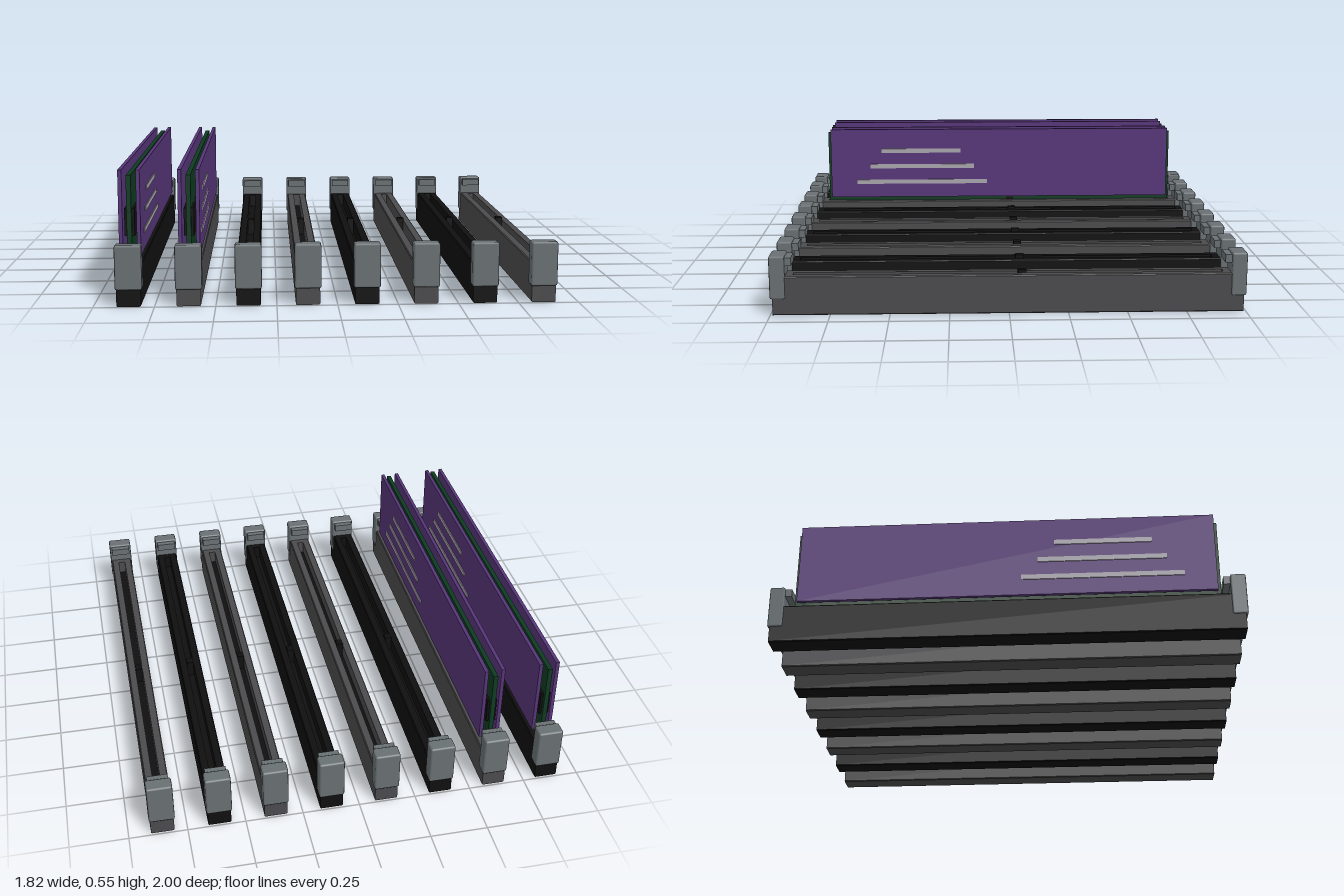
import * as THREE from 'three';
import { RoundedBoxGeometry } from 'three/addons/geometries/RoundedBoxGeometry.js';

const mat = (name, color) => {
  const m = new THREE.MeshStandardMaterial({ color });
  m.name = name;
  return m;
};

export function createModel() {
  const black = mat('black plastic', 0x101010);
  const grey = mat('dark grey plastic', 0x4b4b4d);
  const latchGrey = mat('latch grey', 0x697073);
  const purple = mat('purple metal', 0x573579);
  const green = mat('circuit board green', 0x0f3a22);
  const silver = mat('light grey', 0xaaa6b0);

  // Box given by its ranges on each axis
  const box = (parent, name, material, [x0, x1], [y0, y1], [z0, z1], radius = 0) => {
    const size = [x1 - x0, y1 - y0, z1 - z0];
    const geo = radius ? new RoundedBoxGeometry(...size, 1, radius) : new THREE.BoxGeometry(...size);
    const mesh = new THREE.Mesh(geo, material);
    mesh.name = name;
    mesh.position.set((x0 + x1) / 2, (y0 + y1) / 2, (z0 + z1) / 2);
    parent.add(mesh);
    return mesh;
  };
  // Range mirrored to the side s
  const side = (s, a, b) => (s > 0 ? [a, b] : [-b, -a]);

  // Long socket with a groove, a key and a latch at each end
  function makeSlot(bodyMat) {
    const slot = new THREE.Group();
    const profile = new THREE.Shape();
    [[-0.046, 0], [0.046, 0], [0.05, 0.004], [0.05, 0.163], [0.046, 0.167], [0.016, 0.167],
      [0.016, 0.10], [-0.016, 0.10], [-0.016, 0.167], [-0.046, 0.167], [-0.05, 0.163], [-0.05, 0.004],
    ].forEach(([x, y], i) => (i ? profile.lineTo(x, y) : profile.moveTo(x, y)));
    const geo = new THREE.ExtrudeGeometry(profile, { depth: 1.98, bevelEnabled: false });
    geo.translate(0, 0, -0.99);
    const body = new THREE.Mesh(geo, bodyMat);
    body.name = 'slotBody';
    slot.add(body);
    box(slot, 'grooveFloor', black, [-0.016, 0.016], [0.098, 0.106], [-0.905, 0.905]);
    box(slot, 'grooveKey', black, [-0.015, 0.015], [0.1, 0.18], [-0.073, -0.037]);
    for (const s of [-1, 1]) {
      box(slot, 'grooveEnd', bodyMat, [-0.016, 0.016], [0.1, 0.167], side(s, 0.905, 0.989));
      box(slot, 'latch', latchGrey, [-0.055, 0.055], [0.07, 0.255], side(s, 0.935, 1), 0.008);
      box(slot, 'latchTab', latchGrey, [-0.045, 0.045], [0.213, 0.247], side(s, 0.907, 0.945));
    }
    return slot;
  }

  // Memory stick: board, chips, two heat spreaders and their stripes
  function makeStick() {
    const stick = new THREE.Group();
    stick.name = 'memoryStick';
    for (const [a, b] of [[-0.9, -0.073], [-0.037, 0.9]])
      box(stick, 'boardFoot', green, [-0.01, 0.01], [0.12, 0.18], [a, b]);
    box(stick, 'circuitBoard', green, [-0.01, 0.01], [0.18, 0.53], [-0.9, 0.9]);
    for (let i = -3; i <= 3; i++) {
      const z = i * 0.27 - 0.06 + 0.06;
      for (const s of [-1, 1])
        box(stick, 'chip', black, side(s, 0.01, 0.021), [0.275, 0.39], [z - 0.075, z + 0.075]);
      if (i > -3) box(stick, 'smallPart', silver, [0.01, 0.015], [0.32, 0.34], [z - 0.165, z - 0.105]);
    }
    box(stick, 'controllerChip', black, [0.01, 0.02], [0.425, 0.47], [-0.05, 0.05]);
    const stripes = [[0.437, 0.205, 0.62], [0.355, 0.135, 0.68], [0.272, 0.065, 0.75]];
    for (const s of [-1, 1]) {
      box(stick, 'heatSpreader', purple, side(s, 0.029, 0.045), [0.19, 0.55], [-0.885, 0.885]);
      for (const [y, z0, z1] of stripes)
        box(stick, 'stripe', silver, side(s, 0.044, 0.049), [y - 0.011, y + 0.011], [z0, z1]);
    }
    return stick;
  }

  // Eight slots in alternating colours, the first two filled
  const model = new THREE.Group();
  model.name = 'memorySlots';
  for (let i = 0; i < 8; i++) {
    const slot = makeSlot(i % 2 ? grey : black);
    slot.name = 'slot' + (i + 1);
    slot.position.x = (i - 3.5) * 0.2443;
    if (i < 2) slot.add(makeStick());
    model.add(slot);
  }
  return model;
}
